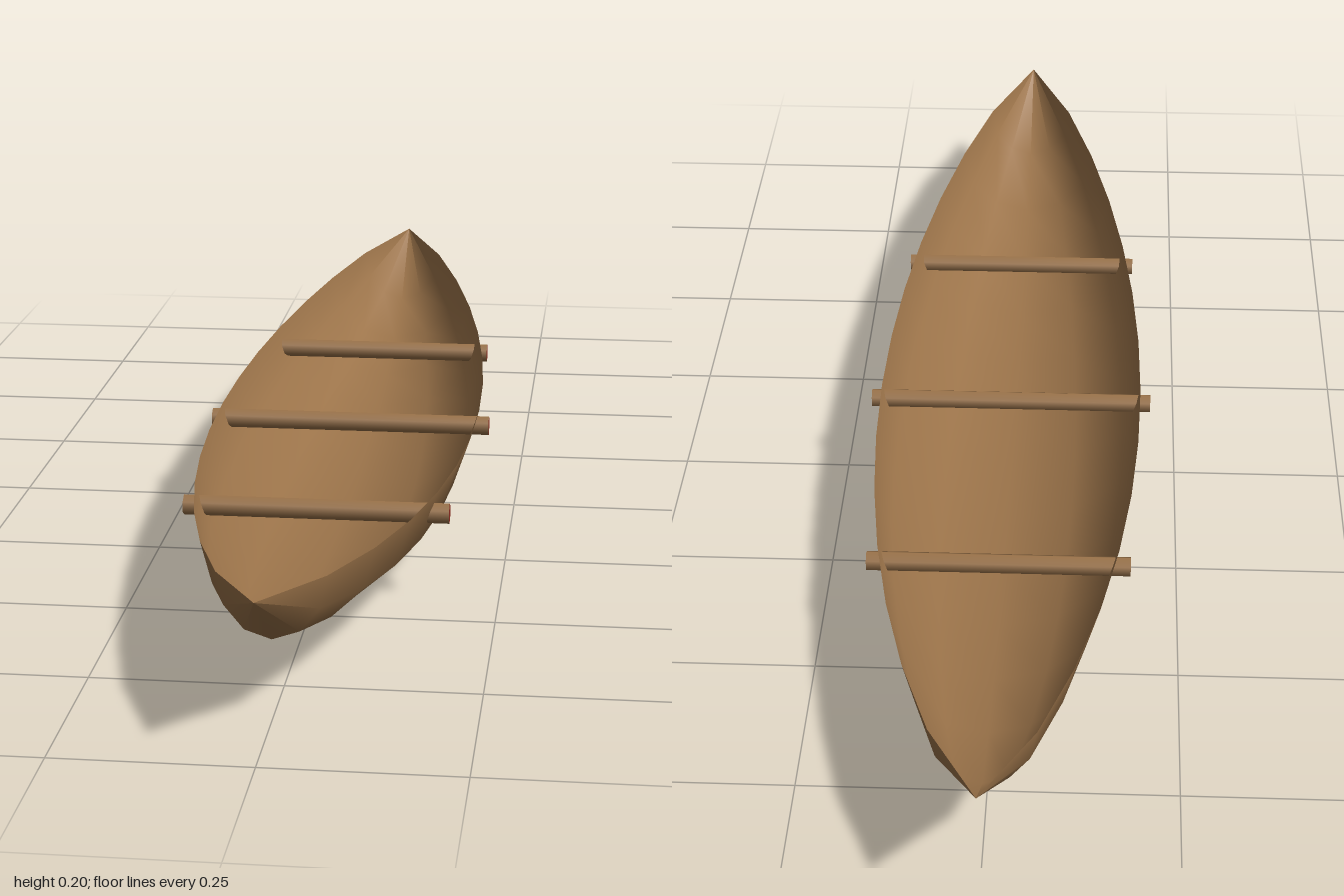
import * as THREE from 'three';

// Half section of the hull: [fraction of half beam, fraction of depth], gunwale to keel
const HALF = [[1, 0], [0.87, 0.5], [0.5, 0.863], [0, 1]];
const SECTION = [...HALF, ...HALF.slice(0, 3).reverse().map(([x, d]) => [-x, d])];
const STATIONS = 14;

// Open shell lofted through the stations, pinched to a point at bow and stern
function hullGeometry() {
  const pos = [], index = [], n = SECTION.length;
  for (let k = 0; k <= STATIONS; k++) {
    const z = -1 + (2 * k) / STATIONS;
    const full = Math.max(0, 1 - z * z);
    const halfBeam = 0.195 * Math.pow(full, 0.8);
    const sheer = 0.148 + 0.057 * Math.pow(Math.abs(z), 2.1);
    const depth = 0.147 * Math.pow(full, 0.42);
    for (const [x, d] of SECTION) pos.push(x * halfBeam, sheer - d * depth, z);
  }
  for (let k = 0; k < STATIONS; k++) {
    for (let i = 0; i < n - 1; i++) {
      const a = k * n + i, b = a + 1, c = a + n, d = c + 1;
      if (k > 0) index.push(a, c, b);
      if (k < STATIONS - 1) index.push(b, c, d);
      else if (k === 0) index.push(b, c, d);
    }
  }
  const g = new THREE.BufferGeometry();
  g.setAttribute('position', new THREE.Float32BufferAttribute(pos, 3));
  g.setIndex(index);
  g.computeVertexNormals();
  return g;
}

export function createModel() {
  const wood = new THREE.MeshStandardMaterial({ color: 0x9c744a, side: THREE.DoubleSide });
  wood.name = 'wood';
  const red = new THREE.MeshStandardMaterial({ color: 0x8b2a1e });
  red.name = 'redEnd';

  const model = new THREE.Group();
  model.name = 'canoe';

  const hull = new THREE.Mesh(hullGeometry(), wood);
  hull.name = 'hull';
  model.add(hull);

  // Crossbars poking through the sides, with red ends
  for (const [name, z, half] of [['frontCrossbar', 0.42, 0.182], ['middleCrossbar', 0, 0.21], ['backCrossbar', -0.42, 0.182]]) {
    const bar = new THREE.Mesh(new THREE.CylinderGeometry(0.0145, 0.0145, half * 2, 6), [wood, red, red]);
    bar.name = name;
    bar.rotation.z = Math.PI / 2;
    bar.rotation.x = 0;
    bar.geometry.rotateY(Math.PI / 2);
    bar.position.set(0, 0.125, z);
    model.add(bar);
  }
  return model;
}
